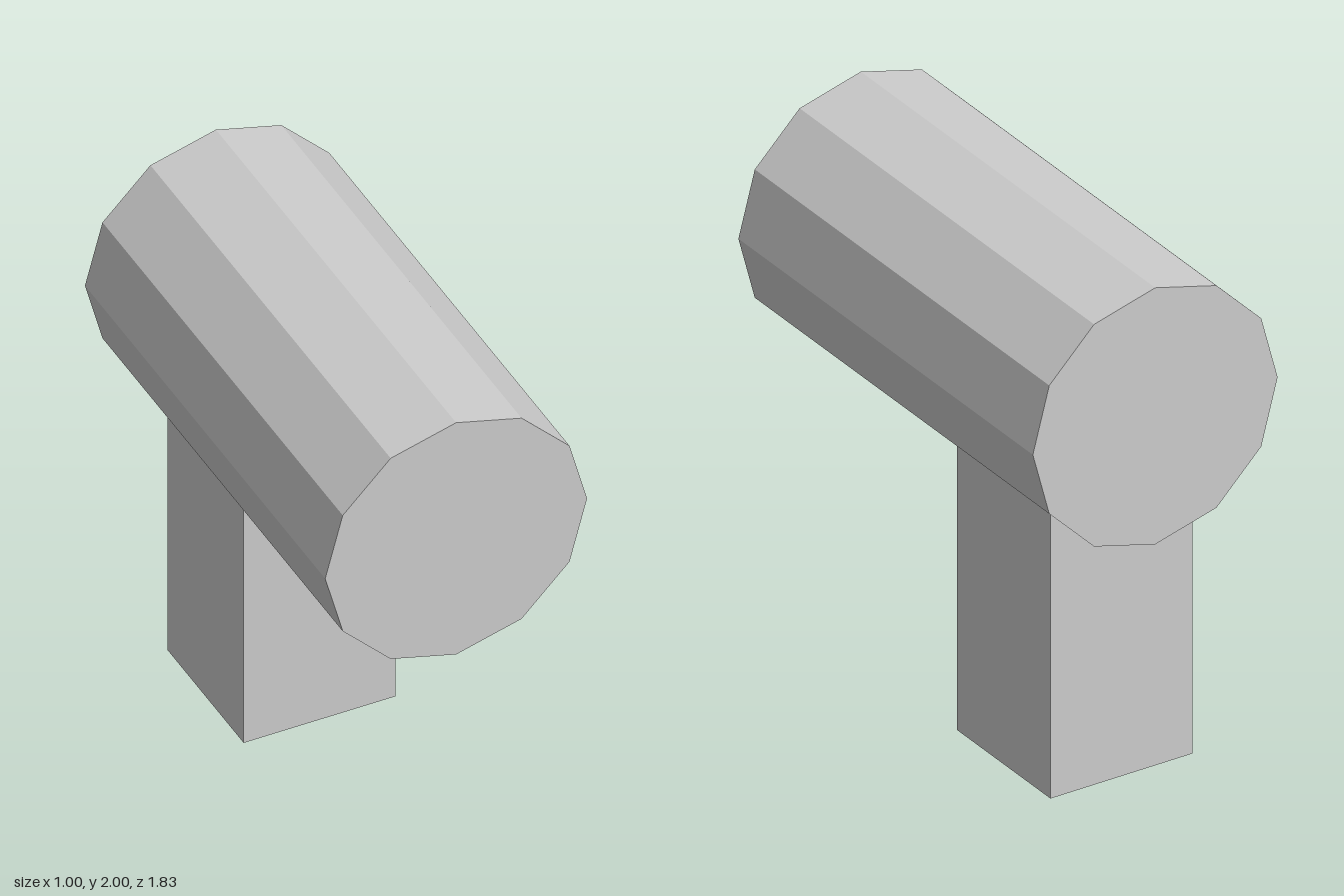
import * as THREE from 'three';

export function createModel() {
  const group = new THREE.Group();
  const grey = new THREE.MeshStandardMaterial({ color: 0xcccccc, flatShading: true });
  grey.name = 'light grey';

  const addPart = (name, geometry, x, y, z) => {
    const mesh = new THREE.Mesh(geometry, grey);
    mesh.name = name;
    mesh.position.set(x, y, z);
    group.add(mesh);
  };

  // twelve-sided barrel lying along z, with a ridge at the top
  const barrel = new THREE.CylinderGeometry(0.5, 0.5, 1.83, 12).rotateX(Math.PI / 2);
  addPart('barrel', barrel, 0, 1.5, 0);

  // square grip, sunk into the underside behind the middle
  const gripHeight = 1.2;
  addPart('grip', new THREE.BoxGeometry(0.58, gripHeight, 0.58), 0, gripHeight / 2, -0.415);

  return group;
}
